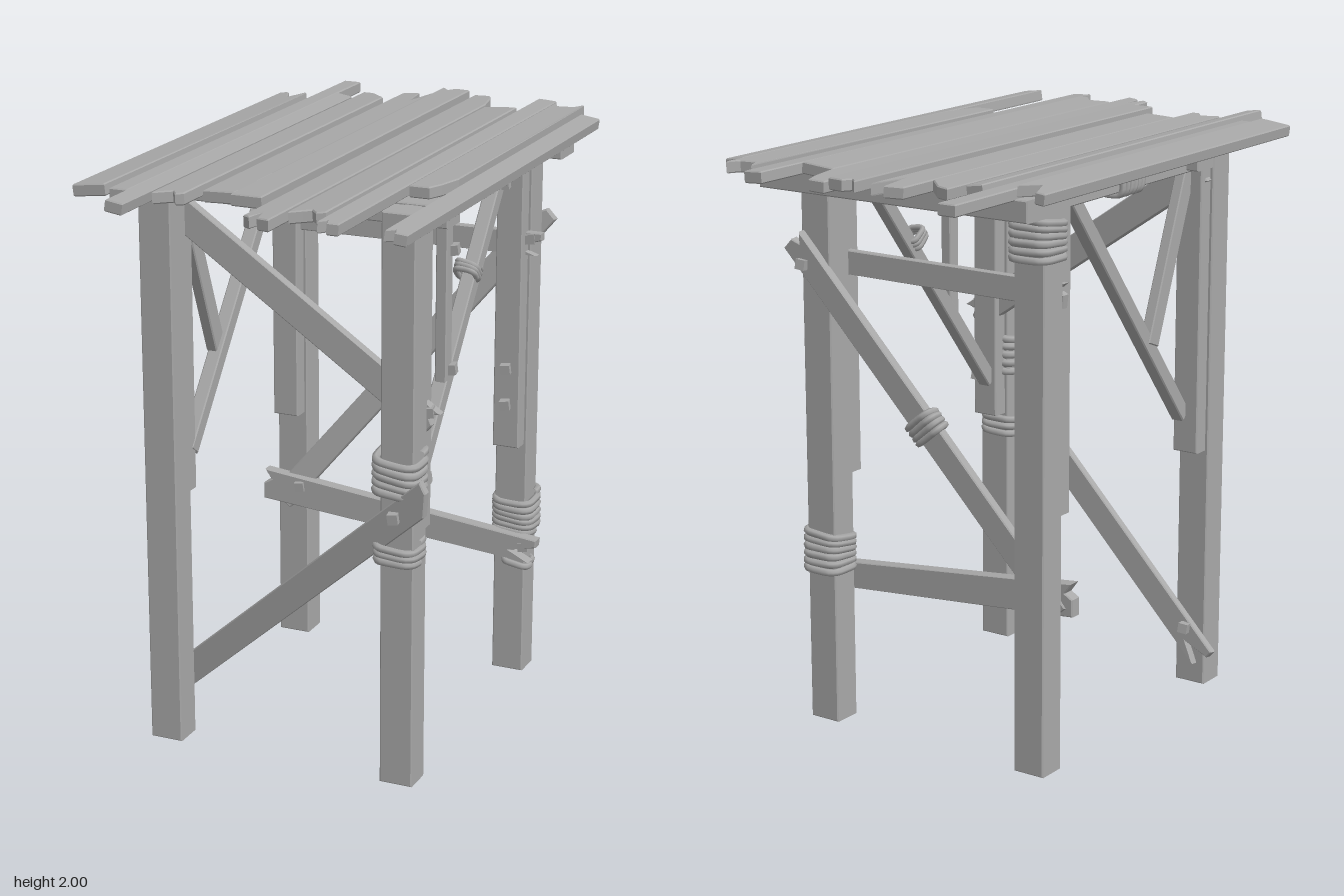
import * as THREE from 'three';

const wood = new THREE.MeshStandardMaterial({ color: 0xa8a8a8 });
wood.name = 'grey wood';
const V = (x, y, z) => new THREE.Vector3(x, y, z);

// Broken board ends: [position across the width, depth cut away]
const ENDS = {
  flat: [[0, 0], [1, 0]],
  slant: [[0, 0], [0.4, 0.01], [1, 0.07]],
  vee: [[0, 0], [0.25, 0], [0.65, 0.1], [1, 0.02]],
  split: [[0, 0.02], [0.5, 0], [0.72, 0.14], [1, 0]],
  dip: [[0, 0], [0.3, 0.03], [0.5, 0], [1, 0.005]],
  corner: [[0, 0], [0.6, 0], [0.8, 0.05], [1, 0.14]],
  saw: [[0, 0.03], [0.2, 0.02], [0.4, 0.1], [0.6, 0.01], [1, 0]],
  chew: [[0, 0], [0.2, 0.05], [0.8, 0.04], [1, 0]],
  fork: [[0, 0], [0.3, 0.02], [0.55, 0.035], [0.8, 0], [1, 0.01]],
};

export function createModel() {
  const model = new THREE.Group();
  model.name = 'plankTable';

  const add = (name, geometry) => {
    const mesh = new THREE.Mesh(geometry, wood);
    mesh.name = name;
    model.add(mesh);
    return mesh;
  };

  // Board from a to b; w across, t along the face normal, ends may be broken
  function board(name, a, b, w, t, normal, endA = 'flat', endB = 'flat', taper = 1) {
    const dir = b.clone().sub(a);
    const len = dir.length();
    dir.normalize();
    const across = dir.clone().cross(normal).normalize();
    const face = across.clone().cross(dir);
    const e = 0.004;
    const W = w - 2 * e;
    const pts = [];
    for (const [u, d] of ENDS[endA]) pts.push(new THREE.Vector2((u - 0.5) * W, d + e));
    for (const [u, d] of [...ENDS[endB]].reverse()) pts.push(new THREE.Vector2((u - 0.5) * W * taper, len - d - e));
    const geo = new THREE.ExtrudeGeometry(new THREE.Shape(pts), {
      depth: t - 2 * e, bevelEnabled: true, bevelSize: e, bevelThickness: e, bevelSegments: 1,
    });
    geo.translate(0, 0, -t / 2 + e);
    geo.applyMatrix4(new THREE.Matrix4().makeBasis(across, dir, face).setPosition(a));
    return add(name, geo);
  }

  // Rope wound in a rounded square around an axis through the centre
  function rope(name, center, axis, hw, hd, turns, length, r = 0.013) {
    const pts = [];
    const n = turns * 20;
    for (let i = 0; i <= n; i++) {
      const a = (i / 20) * Math.PI * 2;
      const c = Math.cos(a), s = Math.sin(a);
      const k = (c ** 4 + s ** 4) ** -0.25;
      pts.push(V(c * k * hw, (i / n - 0.5) * length + 0.006 * Math.sin(a * 0.9), s * k * hd));
    }
    const mesh = add(name, new THREE.TubeGeometry(new THREE.CatmullRomCurve3(pts), n * 2, r, 6));
    mesh.position.copy(center);
    mesh.quaternion.setFromUnitVectors(V(0, 1, 0), axis.clone().normalize());
  }

  const X = V(1, 0, 0), Y = V(0, 1, 0), Z = V(0, 0, 1);

  // Legs with a shorter board fixed to the inner side of each
  for (const x of [-0.435, 0.415]) {
    for (const [z, inner] of [[0.535, 0.452], [-0.487, -0.405]]) {
      board('leg', V(x, 0, z), V(x, 1.94, z), 0.115, 0.106, Z);
      board('innerPost', V(x, 0.87, inner), V(x, 1.92, inner), 0.095, 0.062, Z);
    }
  }

  // Beams and rails under the top
  board('frontBeam', V(-0.5, 1.908, 0.418), V(0.53, 1.908, 0.418), 0.072, 0.105, Z);
  board('backBeam', V(-0.52, 1.908, -0.61), V(0.535, 1.908, -0.61), 0.072, 0.13, Z);
  for (const x of [-0.425, 0.415]) {
    board('sideRail', V(x, 1.9, 0.49), V(x, 1.9, -0.44), 0.075, 0.06, X);
  }

  // Top planks: x0, x1, back z, front z, centre y, tilt, back end, front end
  const planks = [
    [-0.6, -0.485, -0.7, 0.81, 1.965, 0.12, 'vee', 'flat'],
    [-0.475, -0.412, -0.985, 0.8, 1.958, 0, 'flat', 'flat'],
    [-0.395, -0.335, -0.73, 0.975, 1.966, -0.15, 'flat', 'flat'],
    [-0.32, -0.213, -0.81, 0.81, 1.965, 0.05, 'slant', 'fork'],
    [-0.19, -0.08, -0.88, 0.715, 1.962, 0.04, 'split', 'flat'],
    [-0.063, 0.042, -0.935, 0.78, 1.977, 0, 'dip', 'flat'],
    [0.062, 0.16, -0.93, 0.975, 1.963, 0.03, 'corner', 'saw'],
    [0.17, 0.292, -0.75, 0.86, 1.968, 0.08, 'flat', 'fork'],
    [0.302, 0.37, -0.94, 0.94, 1.966, -0.06, 'flat', 'dip'],
    [0.388, 0.497, -0.88, 0.44, 1.972, 0, 'chew', 'corner'],
    [0.518, 0.59, -0.77, 0.94, 1.96, -0.15, 'flat', 'dip'],
  ];
  for (const [x0, x1, back, front, y, tilt, endBack, endFront] of planks) {
    const x = (x0 + x1) / 2;
    board('topPlank', V(x, y, front), V(x, y, back), x1 - x0, 0.04,
      V(-Math.sin(tilt), Math.cos(tilt), 0), endFront, endBack);
  }

  // Front braces
  board('frontLowerBrace', V(-0.52, 0.11, 0.445), V(0.54, 1.05, 0.61), 0.1, 0.03, Z, 'vee', 'slant');
  board('frontUpperBrace', V(-0.46, 1.87, 0.46), V(0.485, 1.225, 0.46), 0.105, 0.035, Z, 'flat', 'dip');

  // Back braces and crossbars
  const c0 = V(-0.47, 0.53, -0.415), c1 = V(0.485, 1.69, -0.565);
  board('backBrace', c0, c1, 0.09, 0.035, Z, 'flat', 'dip');
  board('backLowerBar', V(-0.53, 0.59, -0.405), V(0.53, 0.485, -0.405), 0.115, 0.045, Z, 'dip', 'vee', 0.8);
  board('backUpperBar', V(-0.5, 1.6, -0.425), V(0.52, 1.6, -0.425), 0.085, 0.03, Z, 'dip', 'vee');

  // Side braces
  for (const x of [-0.41, 0.41]) {
    board('sideBrace', V(x, 1.0, 0.43), V(x, 1.875, -0.275), 0.052, 0.05, X);
  }
  board('sideStrut', V(0.415, 1.29, 0.21), V(0.415, 1.88, 0.21), 0.05, 0.04, X);
  board('shortBrace', V(-0.42, 1.3, 0.2), V(-0.42, 1.89, 0.43), 0.065, 0.04, X);

  // Rope bindings
  rope('legRope', V(0.405, 1.08, 0.54), V(0.03, 1, 0.03), 0.07, 0.066, 5, 0.14, 0.014);
  rope('legRope', V(0.405, 0.815, 0.54), V(-0.03, 1, 0.03), 0.066, 0.066, 3, 0.07);
  rope('legRope', V(0.42, 0.6, -0.487), V(0, 1, 0.03), 0.067, 0.066, 6, 0.14);
  rope('looseRope', V(0.44, 0.42, -0.46), V(0.1, 1, 0.1), 0.045, 0.04, 1, 0.02, 0.012);
  rope('legRope', V(-0.435, 1.785, -0.49), V(0.02, 1, 0.03), 0.07, 0.07, 6, 0.14);
  rope('backBraceRope', c0.clone().lerp(c1, 0.493), c1.clone().sub(c0), 0.055, 0.032, 4, 0.075, 0.012);
  rope('sideBraceRope', V(0.41, 1.605, -0.01), V(0, 0.875, -0.705), 0.036, 0.036, 3, 0.045, 0.01);
  rope('railRope', V(-0.425, 1.9, 0.01), Z, 0.042, 0.048, 6, 0.15, 0.011);

  // Square pegs
  const pegs = [
    [0.415, 0.95, 0.615], [0.44, 1.33, 0.2], [0.44, 1.02, 0.41], [0.44, 1.73, 0.19],
    [0.44, 1.845, -0.255], [0.415, 1.16, -0.365], [0.415, 1.03, -0.365], [0.475, 1.62, -0.42],
    [0.44, 1.61, -0.58], [-0.385, 0.6, -0.385], [0.48, 0.5, -0.4], [-0.44, 0.22, 0.43],
    [0.475, 1.27, 0.47], [-0.41, 1.04, 0.41],
  ];
  for (const [x, y, z] of pegs) {
    const peg = add('peg', new THREE.BoxGeometry(0.034, 0.034, 0.034));
    peg.position.set(x, y, z);
    peg.rotation.set(0.1, 0.15, 0.1);
  }

  return model;
}
